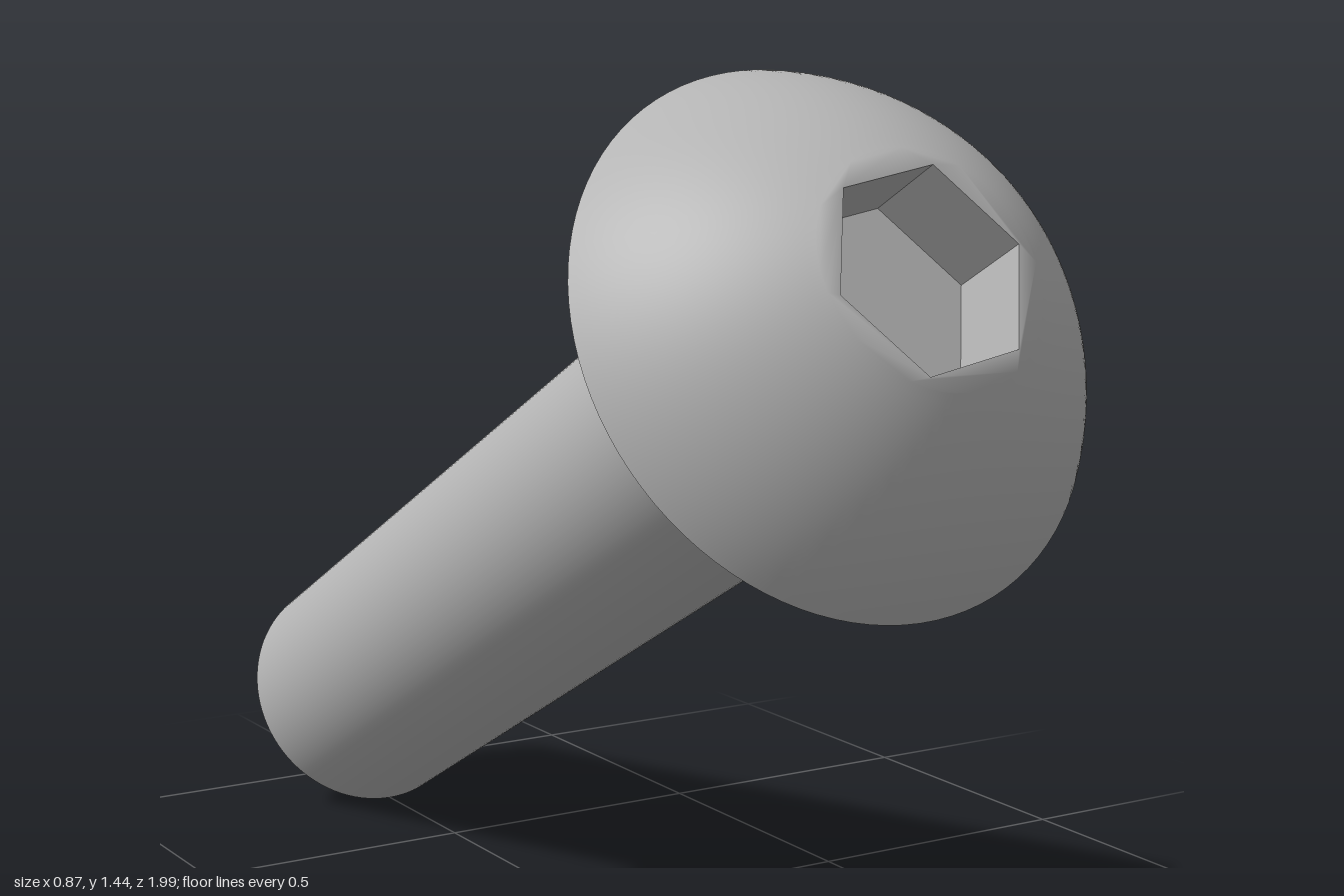
import * as THREE from 'three';

const TILT = THREE.MathUtils.degToRad(61);   // axis leans forward from vertical
const HEAD_R = 0.434, TOP_R = 0.184, TOP_Y = 0.25;
const SHAFT_R = 0.223, FILLET = 0.027, TIP_R = 0.179, TIP_Y = -1.827;
const HEX_R = 0.166, HEX_DEPTH = 0.145, HEX_TURN = THREE.MathUtils.degToRad(10);

export function createModel() {
  const steel = new THREE.MeshStandardMaterial({ color: 0xb4b4b4 });
  steel.name = 'steel grey';

  // The bolt is built along local y, with y = 0 at the underside of the head.
  const bolt = new THREE.Group();
  bolt.name = 'bolt';
  const add = (name, geometry) => {
    const mesh = new THREE.Mesh(geometry, steel);
    mesh.name = name;
    bolt.add(mesh);
  };
  const lathe = (points) =>
    new THREE.LatheGeometry(points.map(([r, y]) => new THREE.Vector2(r, y)), 96);

  // Shaft tip and its chamfer
  add('tipFace', lathe([[0, TIP_Y], [TIP_R, TIP_Y]]));
  add('tipChamfer', lathe([[TIP_R, TIP_Y], [SHAFT_R, TIP_Y + 0.036]]));

  // Plain shaft flaring into the head through a small fillet
  const shaft = [[SHAFT_R, TIP_Y + 0.036], [SHAFT_R, -0.04]];
  for (let i = 0; i <= 8; i++) {
    const t = (i / 8) * Math.PI / 2;
    shaft.push([SHAFT_R + FILLET * (1 - Math.cos(t)), FILLET * (Math.sin(t) - 1)]);
  }
  add('shaft', lathe(shaft));

  // Head: flat underside and rounded dome
  add('headUnderside', lathe([[SHAFT_R + FILLET, 0], [HEAD_R, 0]]));
  const dome = [];
  for (let i = 0; i <= 24; i++) {
    const a = THREE.MathUtils.degToRad(29 + (32 * i) / 24);
    dome.push([-0.126 + 0.64 * Math.cos(a), -0.31 + 0.64 * Math.sin(a)]);
  }
  dome[0] = [HEAD_R, 0];
  dome[24] = [TOP_R, TOP_Y];
  add('headDome', lathe(dome));

  // Flat crown around the hexagonal opening, shaded smoothly into the dome
  const crown = new THREE.Shape().absarc(0, 0, TOP_R, 0, Math.PI * 2);
  const hex = [];
  for (let i = 0; i < 6; i++) {
    const a = HEX_TURN + i * Math.PI / 3;
    hex.push(new THREE.Vector2(HEX_R * Math.cos(a), HEX_R * Math.sin(a)));
  }
  crown.holes.push(new THREE.Path(hex));
  const crownGeo = new THREE.ShapeGeometry(crown, 48);
  crownGeo.rotateX(-Math.PI / 2).translate(0, TOP_Y, 0);
  const { position, normal } = crownGeo.attributes;
  for (let i = 0; i < position.count; i++) {
    const x = position.getX(i), z = position.getZ(i), r = Math.hypot(x, z);
    if (r > 0.175) normal.setXYZ(i, 0.485 * x / r, 0.875, 0.485 * z / r);
  }
  add('headCrown', crownGeo);

  // Hex socket: walls mirrored so that they face inward, and a flat floor
  const walls = new THREE.CylinderGeometry(
    HEX_R, HEX_R, HEX_DEPTH, 6, 1, true, Math.PI / 2 - HEX_TURN).toNonIndexed();
  walls.scale(-1, 1, 1);
  // Mirroring reverses the corners' order, which turns the faces inward
  walls.computeVertexNormals();
  walls.translate(0, TOP_Y - HEX_DEPTH / 2, 0);
  add('socketWalls', walls);
  const floor = new THREE.CircleGeometry(HEX_R, 6, HEX_TURN);
  floor.rotateX(-Math.PI / 2).translate(0, TOP_Y - HEX_DEPTH, 0);
  add('socketFloor', floor);

  // Lean the bolt so that the head faces forward and up
  bolt.rotation.x = TILT;
  bolt.position.set(0, 1.068, 0.69);

  const model = new THREE.Group();
  model.name = 'buttonHeadBolt';
  model.add(bolt);
  return model;
}
